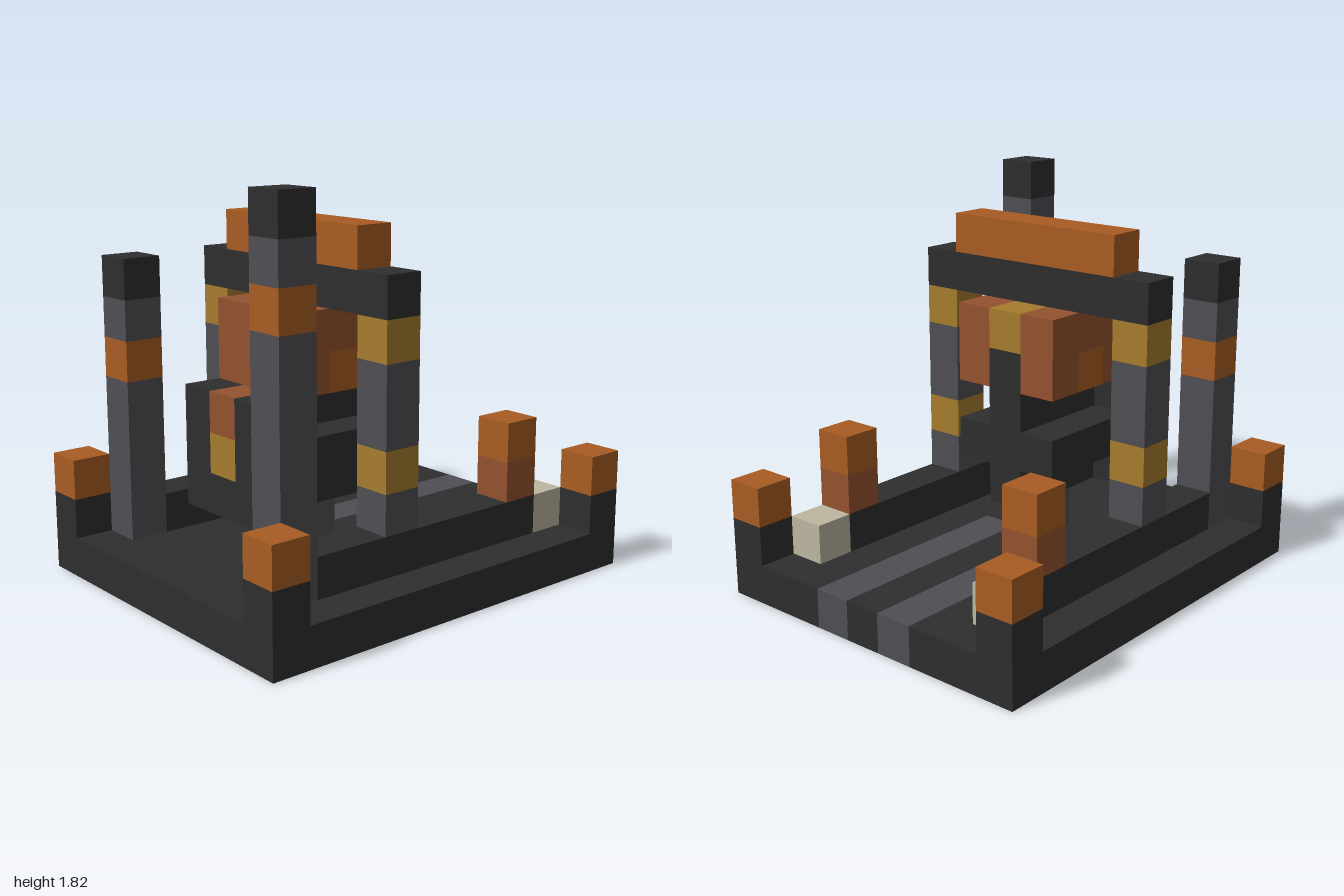
import * as THREE from 'three';

const U = 2 / 11; // one block

const mat = (name, color) => {
  const m = new THREE.MeshStandardMaterial({ color });
  m.name = name;
  return m;
};

export function createModel() {
  const model = new THREE.Group();
  model.name = 'blockMachine';
  const charcoal = mat('charcoal', 0x2e2e2e);
  const steel = mat('steel grey', 0x4f4e54);
  const orange = mat('orange', 0xa85c22);
  const rust = mat('rust', 0x94522f);
  const brass = mat('brass', 0xa67c2e);
  const bone = mat('bone', 0xbeb6a2);

  // Box filling whole blocks: inclusive [first, last] block numbers per axis
  const block = (name, material, [x0, x1], [y0, y1], [z0, z1]) => {
    const w = x1 - x0 + 1, h = y1 - y0 + 1, d = z1 - z0 + 1;
    const mesh = new THREE.Mesh(new THREE.BoxGeometry(w * U, h * U, d * U), material);
    mesh.position.set((x0 + x1) / 2 * U, (y0 + y1 + 1) / 2 * U, (z0 + z1) / 2 * U);
    mesh.name = name;
    model.add(mesh);
  };
  // Stack of [material, height] segments rising from block y
  const stack = (name, x, y, z, segments) => {
    for (const [material, h] of segments) {
      block(name, material, [x, x], [y, y + h - 1], [z, z]);
      y += h;
    }
  };

  // Floor, with two inlaid tracks running in from the back
  block('floorFront', charcoal, [-4, 4], [0, 0], [1, 5]);
  block('floorMiddle', charcoal, [0, 0], [0, 0], [-5, 0]);

  for (const s of [-1, 1]) {
    const span = (a, b) => (s > 0 ? [a, b] : [-b, -a]);
    block('floorSide', charcoal, span(2, 4), [0, 0], [-5, 0]);
    block('floorTrack', steel, span(1, 1), [0, 0], [-5, 0]);

    // Corner posts
    for (const z of [-5, 5]) stack('cornerPost', s * 4, 1, z, [[charcoal, 1], [orange, 1]]);

    // Side rail, rear post and pale block
    block('sideRail', charcoal, span(3, 3), [1, 1], [-3, 3]);
    stack('rearPost', s * 3, 2, -3, [[rust, 1], [orange, 1]]);
    block('paleBlock', bone, span(3, 3), [1, 1], [-4, -4]);

    // Gate legs
    stack('gateLeg', s * 3, 2, 1, [[steel, 1], [brass, 1], [steel, 2], [brass, 1]]);

    // Furnace hood sides, with a glowing port in each
    block('hoodSideTop', rust, span(1, 1), [6, 6], [0, 2]);
    block('hoodSideBack', rust, span(1, 1), [5, 5], [0, 0]);
    block('hoodPort', orange, span(1, 1), [5, 5], [1, 1]);
    block('hoodSideFront', rust, span(1, 1), [5, 5], [2, 2]);

    // Front plate side
    block('frontPlateSide', charcoal, span(1, 1), [2, 4], [3, 3]);
  }

  // Front columns of unequal height
  stack('frontColumnLeft', 3, 1, 4, [[steel, 6], [orange, 1], [steel, 1], [charcoal, 1]]);
  stack('frontColumnRight', -3, 1, 4, [[steel, 4], [orange, 1], [steel, 1], [charcoal, 1]]);

  // Gate beam
  block('gateBeam', charcoal, [-3, 3], [7, 7], [1, 1]);
  block('gateCap', orange, [-2, 2], [8, 8], [1, 1]);

  // Furnace core, cross-shaped from behind
  block('coreSupport', steel, [0, 0], [1, 1], [1, 1]);
  block('coreFoot', charcoal, [0, 0], [2, 2], [0, 2]);
  block('coreArms', charcoal, [-1, 1], [3, 3], [0, 2]);
  block('coreNeck', charcoal, [0, 0], [4, 4], [0, 2]);

  // Hood middle
  block('hoodBack', charcoal, [0, 0], [5, 5], [0, 0]);
  block('hoodVent', brass, [0, 0], [6, 6], [0, 0]);
  block('hoodMiddle', rust, [0, 0], [5, 6], [1, 2]);

  // Front plate middle
  stack('frontPlateMiddle', 0, 2, 3, [[charcoal, 1], [brass, 1], [rust, 1]]);

  return model;
}
